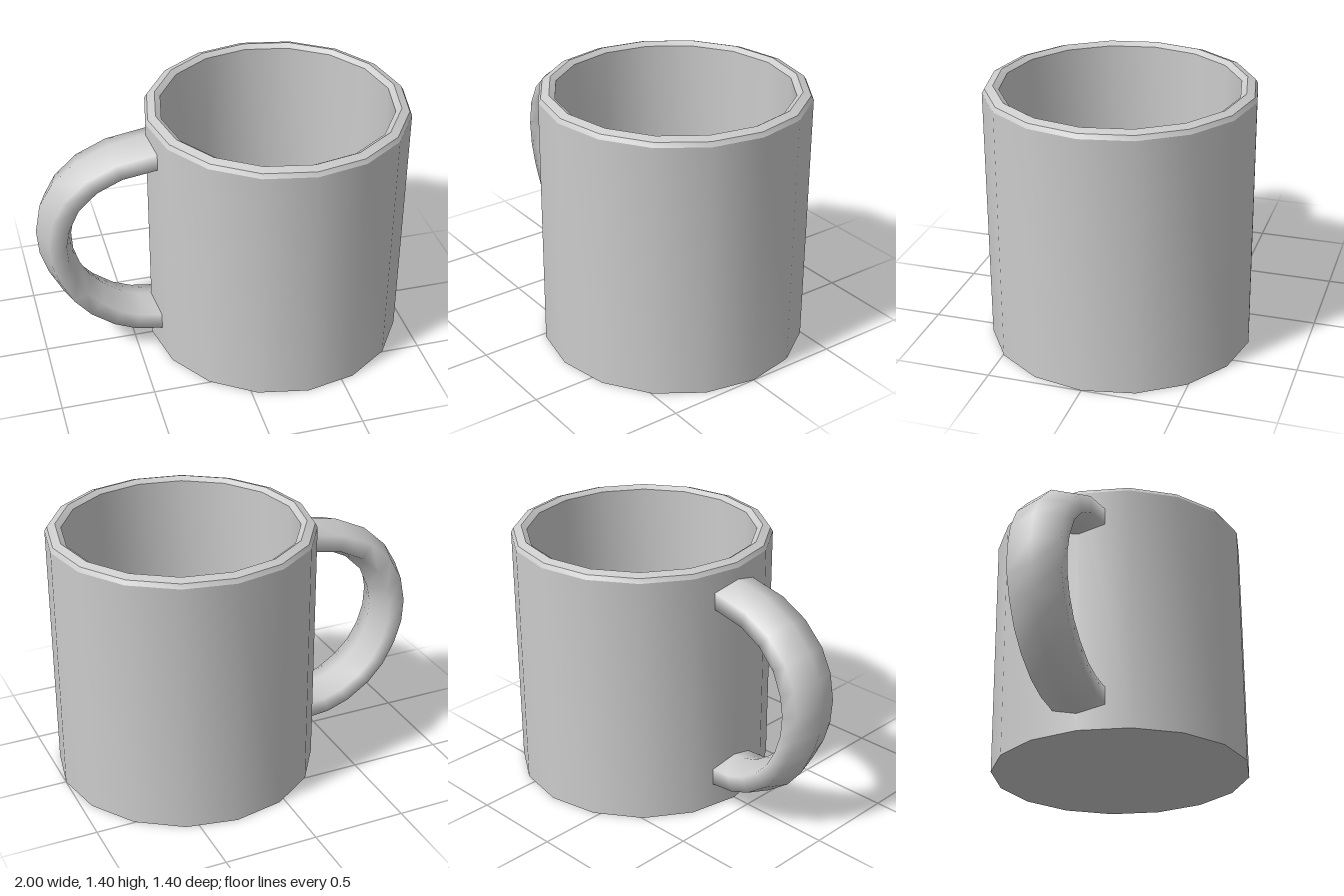
import * as THREE from 'three';
import { toCreasedNormals } from 'three/addons/utils/BufferGeometryUtils.js';

const material = new THREE.MeshStandardMaterial({ color: 0xcccccc });

// Cup: one closed profile, from the underside over the rim to the inner floor
function createCup() {
  const profile = [
    [0, 0], [0.7, 0], [0.7, 1.362], [0.687, 1.385], [0.645, 1.4],
    [0.615, 1.38], [0.606, 0.09], [0, 0.09],
  ].map(([r, y]) => new THREE.Vector2(r, y));
  const cup = new THREE.Mesh(toCreasedNormals(new THREE.LatheGeometry(profile, 16), 0.5), material);
  cup.name = 'cup';
  cup.position.x = 0.3;
  return cup;
}

// Handle: six-sided rings, each spanning an outer and an inner point of the loop
function createHandle() {
  const sides = 6, halfWidth = 0.163;
  const rings = [ // outer x, y, inner x, y
    [-0.36, 1.305, -0.36, 1.12], [-0.6, 1.26, -0.54, 1.09], [-0.77, 1.18, -0.66, 1.03],
    [-0.9, 1.06, -0.75, 0.94], [-0.97, 0.94, -0.8, 0.82], [-1, 0.78, -0.815, 0.74],
    [-0.99, 0.64, -0.81, 0.64], [-0.95, 0.51, -0.78, 0.54], [-0.88, 0.37, -0.73, 0.45],
    [-0.79, 0.26, -0.66, 0.38], [-0.66, 0.165, -0.56, 0.31], [-0.53, 0.11, -0.47, 0.28],
    [-0.36, 0.085, -0.36, 0.27],
  ];
  const positions = [], index = [];
  rings.forEach(([ox, oy, ix, iy], i) => {
    const sway = -0.03 * Math.sin((Math.PI * i) / (rings.length - 1));
    for (let j = 0; j < sides; j++) {
      const a = (j / sides) * Math.PI * 2;
      const t = (1 - Math.cos(a)) / 2; // 0 at the outer point, 1 at the inner
      positions.push(ox + (ix - ox) * t, oy + (iy - oy) * t, sway + halfWidth * Math.sin(a));
      if (i === 0) continue;
      const k = (j + 1) % sides, p = (i - 1) * sides, q = i * sides;
      index.push(p + j, q + j, p + k, q + j, q + k, p + k);
    }
  });
  const geometry = new THREE.BufferGeometry();
  geometry.setAttribute('position', new THREE.Float32BufferAttribute(positions, 3));
  geometry.setIndex(index);
  geometry.computeVertexNormals();
  const handle = new THREE.Mesh(geometry, material);
  handle.name = 'handle';
  return handle;
}

export function createModel() {
  const mug = new THREE.Group();
  mug.name = 'mug';
  mug.add(createCup(), createHandle());
  return mug;
}
